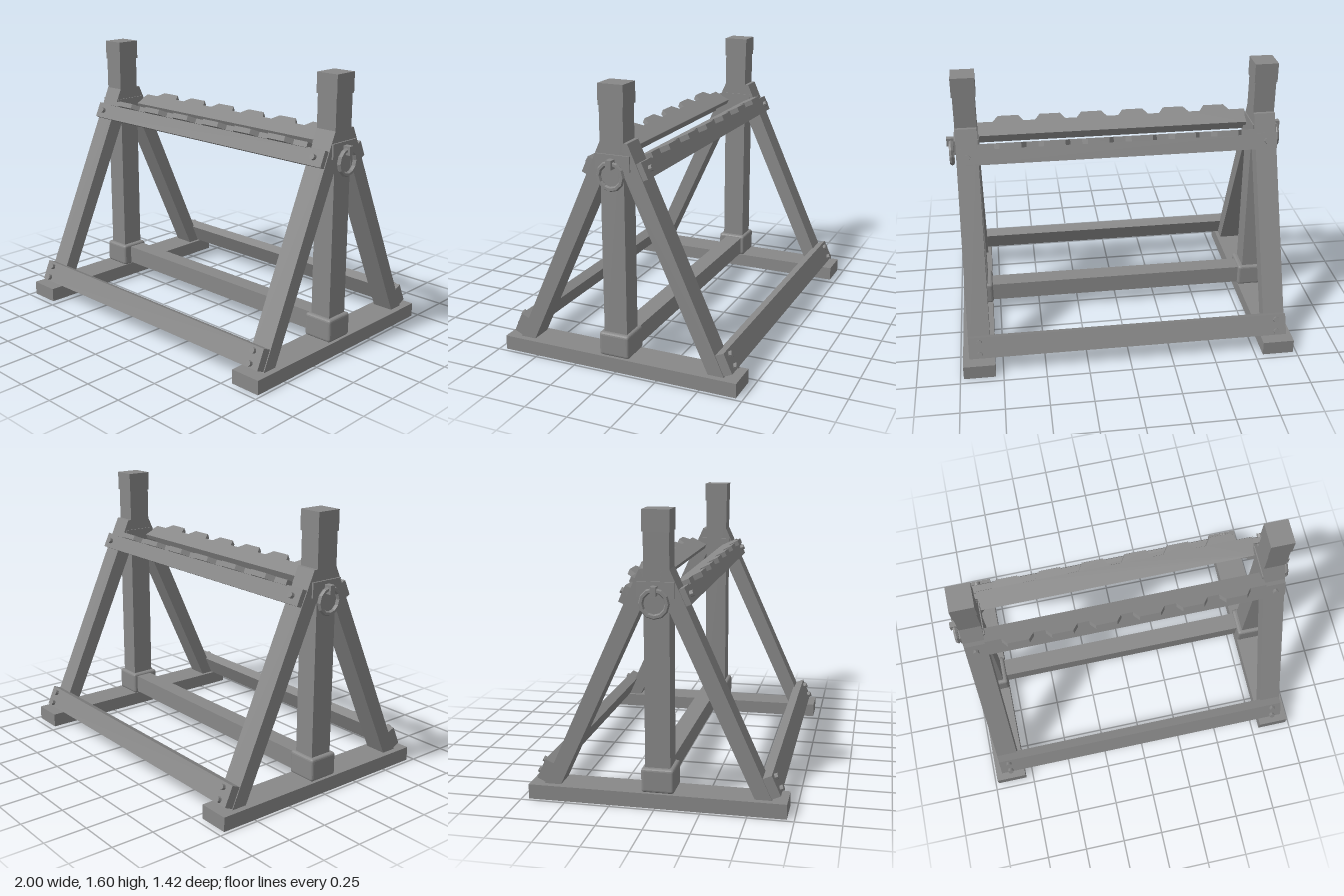
import * as THREE from 'three';
import { RoundedBoxGeometry } from 'three/addons/geometries/RoundedBoxGeometry.js';

const TILT = Math.atan2(0.41, 0.912); // lean of the legs from vertical

export function createModel() {
  const model = new THREE.Group();
  model.name = 'rack';
  const grey = new THREE.MeshStandardMaterial({ color: 0x888888, flatShading: true });
  grey.name = 'grey';

  const add = (parent, name, geometry) => {
    const mesh = new THREE.Mesh(geometry, grey);
    mesh.name = name;
    parent.add(mesh);
    return mesh;
  };
  // box from its limits on each axis
  const box = (parent, name, x0, x1, y0, y1, z0, z1) => {
    const mesh = add(parent, name, new THREE.BoxGeometry(x1 - x0, y1 - y0, z1 - z0));
    mesh.position.set((x0 + x1) / 2, (y0 + y1) / 2, (z0 + z1) / 2);
    return mesh;
  };
  // [z, y] profile extruded along x
  const prism = (parent, name, points, x0, x1) => {
    const shape = new THREE.Shape(points.map(([z, y]) => new THREE.Vector2(-z, y)));
    const geometry = new THREE.ExtrudeGeometry(shape, { depth: x1 - x0, bevelEnabled: false });
    geometry.rotateY(Math.PI / 2).translate(x0, 0, 0);
    return add(parent, name, geometry);
  };
  // plank lying on the sloping legs, from its upper inner corner
  const rail = (parent, name, z, y, length, thick) => {
    const s = Math.sin(TILT), c = Math.cos(TILT);
    prism(parent, name, [
      [z, y], [z + s * length, y - c * length],
      [z + s * length + c * thick, y - c * length + s * thick],
      [z + c * thick, y + s * thick],
    ], -0.94, 0.94);
  };

  // upright posts with feet, sockets, collars and rings
  for (const side of [-1, 1]) {
    const end = new THREE.Group();
    end.name = side > 0 ? 'leftEnd' : 'rightEnd';
    model.add(end);
    const sided = (name, xIn, xOut, ...rest) =>
      box(end, name, Math.min(side * xIn, side * xOut), Math.max(side * xIn, side * xOut), ...rest);

    sided('foot', 0.795, 0.98, 0, 0.083, -0.71, 0.71);
    sided('post', 0.818, 0.945, 0.083, 1.49, -0.058, 0.08);
    sided('postCap', 0.812, 0.95, 1.485, 1.6, -0.064, 0.084);
    sided('collar', 0.812, 0.955, 1.145, 1.23, -0.096, 0.106);

    const socket = add(end, 'postSocket', new RoundedBoxGeometry(0.18, 0.137, 0.182, 2, 0.016));
    socket.position.set(side * 0.88, 0.151, 0.013);

    sided('ringStaple', 0.945, 1, 1.16, 1.21, -0.012, 0.02);
    const ring = add(end, 'ring', new THREE.TorusGeometry(0.07, 0.014, 6, 12));
    ring.rotation.y = Math.PI / 2;
    ring.position.set(side * 0.975, 1.12, 0.005);
  }

  // low beam joining the posts
  box(model, 'centreBeam', -0.82, 0.82, 0.095, 0.205, -0.056, 0.052);

  // toothed shelf outline: x across, y outward
  const outline = [[-0.82, 0], [0.82, 0], [0.82, 0.11]];
  for (let i = 5; i >= 0; i--) {
    const x = -0.632 + i * 0.253;
    outline.push([x + 0.092, 0.11], [x + 0.062, 0.155], [x - 0.062, 0.155], [x - 0.092, 0.11]);
  }
  outline.push([-0.82, 0.11]);
  const shelfShape = new THREE.Shape(outline.map(([x, y]) => new THREE.Vector2(x, y)));

  // front and back frames are the same, turned half way round
  for (const name of ['frontFrame', 'backFrame']) {
    const frame = new THREE.Group();
    frame.name = name;
    if (name === 'backFrame') frame.rotation.y = Math.PI;
    model.add(frame);

    // sloping legs
    for (const x of [-0.945, 0.818]) {
      prism(frame, 'slopingLeg',
        [[0.535, 0.083], [0.627, 0.083], [0.08, 1.295], [0.03, 1.295], [0.03, 1.18]], x, x + 0.127);
    }

    rail(frame, 'lowerRail', 0.565, 0.195, 0.122, 0.063);
    rail(frame, 'upperRail', 0.115, 1.185, 0.095, 0.045);

    // bolt heads
    for (const x of [-0.88, 0.88]) {
      for (const [z, y] of [[0.634, 0.194], [0.663, 0.13], [0.176, 1.16]]) {
        const bolt = add(frame, 'bolt', new THREE.CylinderGeometry(0.017, 0.017, 0.04, 8));
        bolt.rotation.x = Math.PI / 2 - TILT;
        bolt.position.set(x, y, z);
      }
    }

    const shelf = add(frame, 'toothedShelf',
      new THREE.ExtrudeGeometry(shelfShape, { depth: 0.03, bevelEnabled: false }));
    shelf.rotation.x = Math.PI / 2 - TILT;
    shelf.position.set(0, 1.185, 0.055);
  }

  return model;
}
